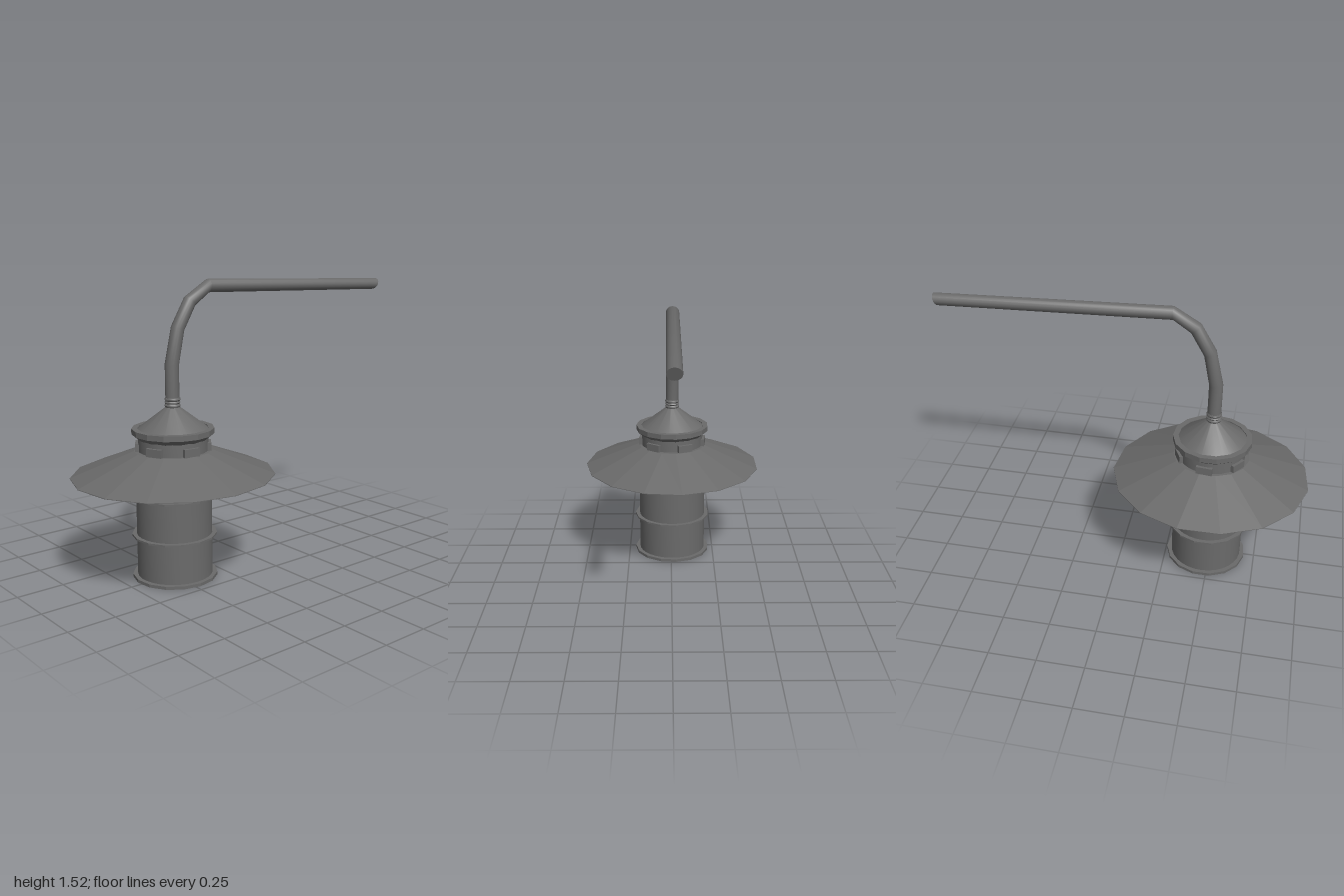
import * as THREE from 'three';
import { toCreasedNormals } from 'three/addons/utils/BufferGeometryUtils.js';

const SIDES = 15;

// Turned part with smooth sides and crisp edges; starts with a corner on +x
function turned(points, sides, crease = 0.5) {
  const profile = points.map(([r, y]) => new THREE.Vector2(r, y));
  return toCreasedNormals(new THREE.LatheGeometry(profile, sides, Math.PI / 2), crease);
}

// Bent pipe from tilted rings: each entry is [outer z, outer y, inner z, inner y]
function pipe(sections, halfWidth, sides) {
  const pos = [], idx = [];
  sections.forEach(([oz, oy, iz, iy]) => {
    const cz = (oz + iz) / 2, cy = (oy + iy) / 2;
    for (let j = 0; j < sides; j++) {
      const a = (j / sides) * Math.PI * 2, c = Math.cos(a);
      pos.push(halfWidth * Math.sin(a), cy + c * (oy - iy) / 2, cz + c * (oz - iz) / 2);
    }
  });
  for (let i = 0; i < sections.length - 1; i++) {
    for (let j = 0; j < sides; j++) {
      const k = (j + 1) % sides, a = i * sides + j, b = i * sides + k;
      idx.push(a, b, b + sides, a, b + sides, a + sides);
    }
  }
  // End cap
  const last = (sections.length - 1) * sides;
  for (let j = 1; j < sides - 1; j++) idx.push(last, last + j, last + j + 1);
  const g = new THREE.BufferGeometry();
  g.setAttribute('position', new THREE.Float32BufferAttribute(pos, 3));
  g.setIndex(idx);
  return toCreasedNormals(g, 0.6);
}

export function createModel() {
  const model = new THREE.Group();
  const metal = new THREE.MeshStandardMaterial({ color: 0x6a6a6a });
  metal.name = 'grey metal';

  const lamp = new THREE.Group();
  lamp.name = 'lampHead';
  lamp.position.set(-0.006, 0, 0.475);
  model.add(lamp);

  const add = (parent, name, geometry) => {
    const mesh = new THREE.Mesh(geometry, metal);
    mesh.name = name;
    parent.add(mesh);
    return mesh;
  };

  // Cylindrical lamp body
  add(lamp, 'body', turned([[0, 0.002], [0.194, 0.002], [0.194, 0.56], [0, 0.56]], 30));

  // Thin flanges around the body
  [[0, 0.016], [0.224, 0.234], [0.434, 0.444]].forEach(([y0, y1], i) => {
    add(lamp, 'flange' + (i + 1),
      turned([[0, y0], [0.219, y0], [0.219, y1], [0, y1]], SIDES, 0.1));
  });

  // Wide faceted shade, slightly deeper than wide, closed underneath
  const shade = add(lamp, 'shade',
    turned([[0, 0.542], [0.506, 0.542], [0.506, 0.545], [0.195, 0.67], [0, 0.67]], SIDES, 0.02));
  shade.scale.z = 1.042;

  // Vent neck with raised blocks
  add(lamp, 'neck', turned([[0.178, 0.66], [0.178, 0.745]], 30));
  for (let i = 0; i < 6; i++) {
    const a = THREE.MathUtils.degToRad(24 + i * 60);
    const block = add(lamp, 'ventBlock' + (i + 1), new THREE.BoxGeometry(0.085, 0.042, 0.035));
    block.position.set(Math.sin(a) * 0.174, 0.69, Math.cos(a) * 0.174);
    block.rotation.y = a;
  }

  // Overhanging rim and conical cap
  add(lamp, 'capRim', turned([[0, 0.732], [0.178, 0.732], [0.21, 0.757],
    [0.21, 0.785], [0.18, 0.785], [0.18, 0.778], [0, 0.778]], SIDES, 0.1));
  add(lamp, 'cap', turned([[0.182, 0.778], [0.036, 0.89], [0, 0.89]], 30));

  // Beaded collar where the arm enters the cap
  add(lamp, 'collar', turned([[0.03, 0.888], [0.038, 0.89], [0.041, 0.899], [0.036, 0.908],
    [0.041, 0.914], [0.036, 0.921], [0.041, 0.929], [0.038, 0.938], [0.03, 0.94]], 20, 0.7));

  // Bent arm reaching back
  const arm = add(model, 'arm', pipe([
    [0.511, 0.88, 0.439, 0.88],
    [0.511, 1.11, 0.439, 1.10],
    [0.468, 1.295, 0.405, 1.268],
    [0.385, 1.435, 0.335, 1.388],
    [0.245, 1.518, 0.245, 1.45],
    [-1.0, 1.475, -0.975, 1.413],
  ], 0.036, 16));
  arm.position.x = -0.007;

  return model;
}
